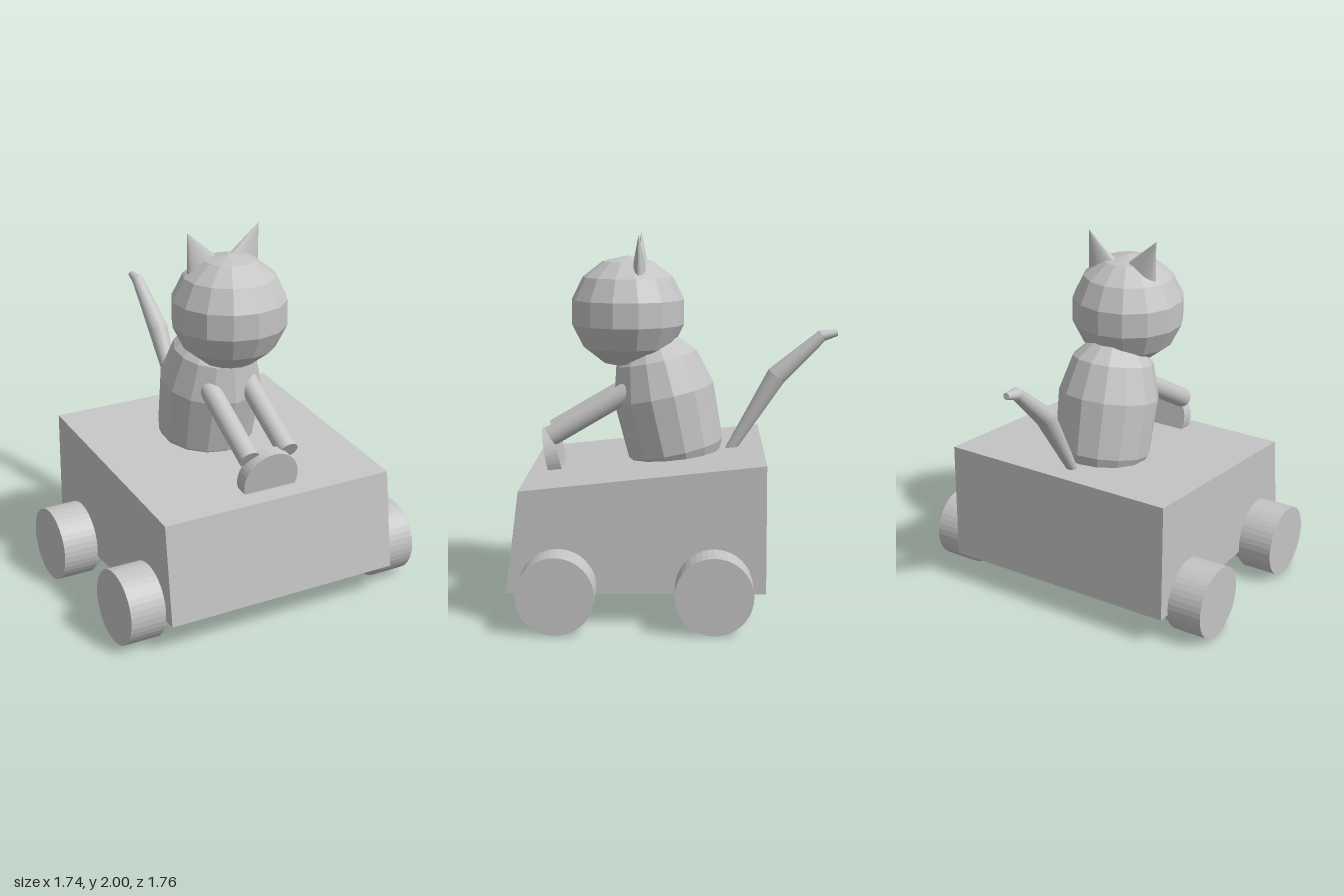
import * as THREE from 'three';

const grey = new THREE.MeshStandardMaterial({ color: 0xc4c4c4, flatShading: true });
grey.name = 'plain grey';

export function createModel() {
  const model = new THREE.Group();
  const add = (name, geometry, x = 0, y = 0, z = 0) => {
    const mesh = new THREE.Mesh(geometry, grey);
    mesh.name = name;
    mesh.position.set(x, y, z);
    model.add(mesh);
    return mesh;
  };
  const lathe = (points, sides) =>
    new THREE.LatheGeometry(points.map(([r, y]) => new THREE.Vector2(r, y)), sides);

  // Cart: side profile (z, y) extruded across x
  const profile = [[0.88, 0.165], [0.81, 0.705], [-0.47, 0.84], [-0.47, 0.165]];
  const cart = new THREE.ExtrudeGeometry(
    new THREE.Shape(profile.map(([z, y]) => new THREE.Vector2(z, y))),
    { depth: 1.35, bevelEnabled: false });
  cart.translate(0, 0, -0.675).rotateY(-Math.PI / 2);
  add('cartBody', cart);

  // Wheels with cone-shaped hubs reaching under the cart
  const wheel = lathe([[0, 0.345], [0.202, 0.675], [0.202, 0.872], [0, 0.872]], 40);
  for (const side of [1, -1]) {
    for (const [name, z] of [['front', 0.61], ['rear', -0.2]]) {
      add(name + 'Wheel' + (side > 0 ? 'Left' : 'Right'), wheel, 0, 0.202, z)
        .rotation.z = -side * Math.PI / 2;
    }
  }

  // Cat torso, leaning forward
  const torso = lathe([[0, -0.16], [0.21, -0.1], [0.265, 0.01], [0.28, 0.325],
    [0.226, 0.52], [0.13, 0.62], [0, 0.65]], 14);
  add('torso', torso, 0, 0.81, 0.007).rotation.x = 0.21;

  // Head
  const head = new THREE.SphereGeometry(1, 14, 7).rotateY(Math.PI / 2);
  head.scale(0.316, 0.308, 0.316);
  add('head', head, 0, 1.573, 0.27);

  // Ears and arms, mirrored
  const ear = new THREE.ConeGeometry(1, 0.2, 32).scale(0.092, 1, 0.036);
  const shoulder = new THREE.Vector3(0, 1.187, 0.2);
  const paw = new THREE.Vector3(0, 0.9, 0.69);
  const reach = paw.clone().sub(shoulder);
  const arm = new THREE.CylinderGeometry(0.056, 0.056, reach.length(), 32);
  const middle = shoulder.clone().add(paw).multiplyScalar(0.5);
  for (const side of [1, -1]) {
    const label = side > 0 ? 'Left' : 'Right';
    add('ear' + label, ear, side * 0.171, 1.912, 0.202).rotation.z = -side * 0.44;
    add('arm' + label, arm, side * 0.117, middle.y, middle.z)
      .quaternion.setFromUnitVectors(new THREE.Vector3(0, 1, 0), reach.clone().normalize());
  }

  // Steering wheel, half sunk into the deck
  const disc = new THREE.CylinderGeometry(0.162, 0.162, 0.075, 40).rotateX(Math.PI / 2);
  add('steeringWheel', disc, 0, 0.775, 0.68).rotation.x = 0.19;

  // Tail: cylinder rows moved onto a bent, tapering path [y, z, radius, slope]
  const path = [[1.459, -0.88, 0.018, 1.45], [1.443, -0.796, 0.033, 1.05],
    [1.22, -0.546, 0.056, 0.72], [0.78, -0.275, 0.026, 0.55]];
  const tail = new THREE.CylinderGeometry(1, 1, 3, 24, 3);
  const p = tail.attributes.position;
  for (let i = 0; i < p.count; i++) {
    const [y, z, r, slope] = path[Math.round(1.5 - p.getY(i))];
    const across = p.getZ(i) * r;
    p.setXYZ(i, p.getX(i) * r, y + across * Math.sin(slope), z + across * Math.cos(slope));
  }
  tail.computeVertexNormals();
  add('tail', tail);

  return model;
}
